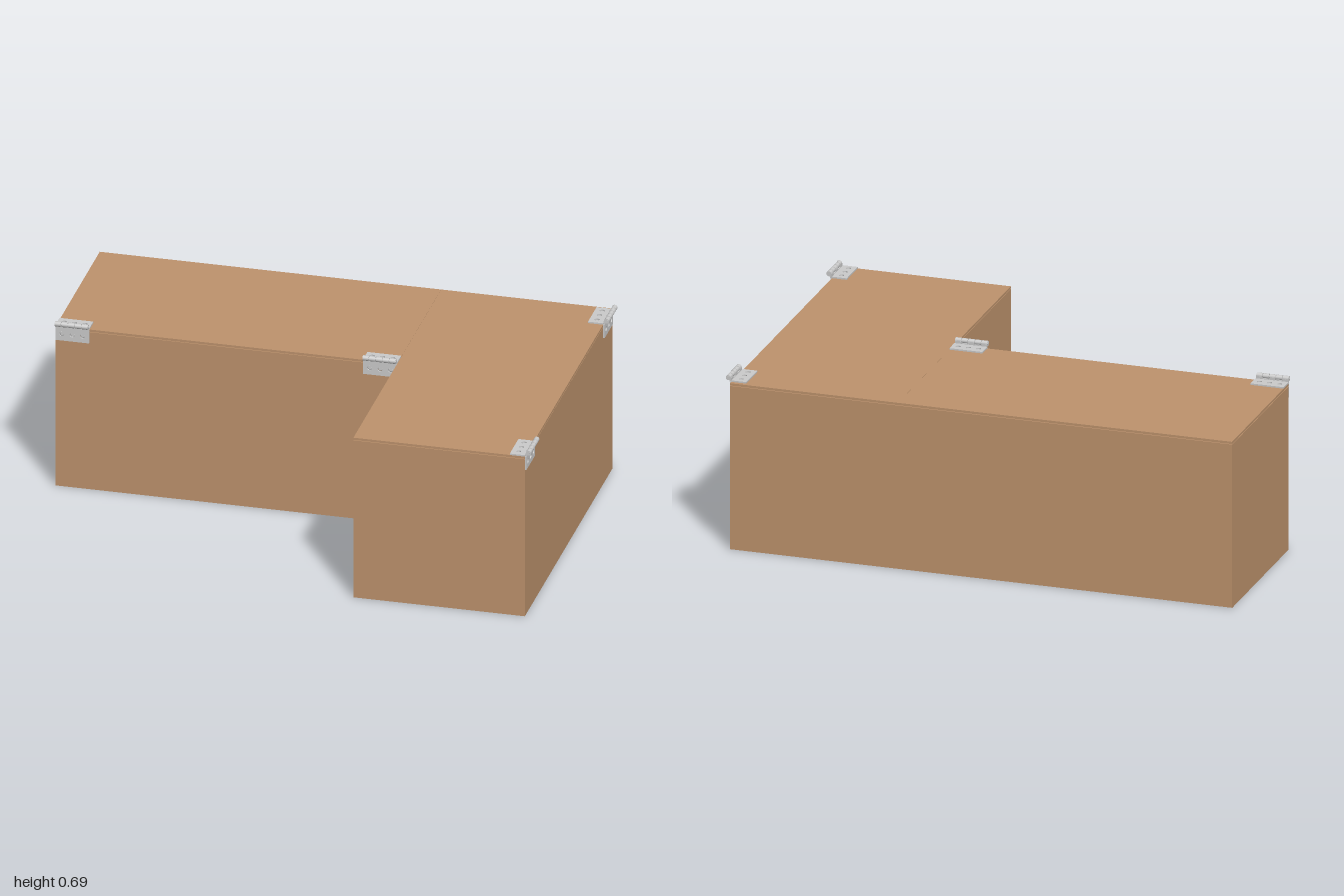
import * as THREE from 'three';

const wood = new THREE.MeshStandardMaterial({ color: 0xbe936d });
const metal = new THREE.MeshStandardMaterial({ color: 0xcccccc });

const TOP = 0.66, LID = 0.009, GAP = 0.002;
const X0 = -1, X1 = 0.975, INNER = 0.315, DEPTH = 0.66;
const HINGE = 0.13;

function add(parent, name, geometry, material, x = 0, y = 0, z = 0) {
  const mesh = new THREE.Mesh(geometry, material);
  mesh.name = name;
  mesh.position.set(x, y, z);
  parent.add(mesh);
  return mesh;
}

// Flat leaf in the XY plane with three screw holes, extruded along +z
function leafGeometry(height, holeY, thickness) {
  const h = HINGE / 2;
  const shape = new THREE.Shape([
    new THREE.Vector2(-h, 0), new THREE.Vector2(h, 0),
    new THREE.Vector2(h, height), new THREE.Vector2(-h, height),
  ]);
  for (const x of [-0.04, 0, 0.04]) {
    shape.holes.push(new THREE.Path().absarc(x, holeY, 0.0095, 0, Math.PI * 2, true));
  }
  return new THREE.ExtrudeGeometry(shape, { depth: thickness, bevelEnabled: false, curveSegments: 10 });
}

// Hinge whose origin is the box edge: local x along it, z outward
function makeHinge() {
  const hinge = new THREE.Group();
  hinge.name = 'hinge';
  const t = 0.006, barrelY = 0.015, barrelZ = 0.013, r = 0.01;

  add(hinge, 'topLeaf', leafGeometry(0.058, 0.03, t).rotateX(-Math.PI / 2), metal);
  add(hinge, 'sideLeaf', leafGeometry(0.055, 0.027, t), metal, 0, -0.055, 0);

  // Screws sunk into the holes
  for (const x of [-0.04, 0, 0.04]) {
    add(hinge, 'topScrew', new THREE.CylinderGeometry(0.007, 0.0095, 0.002, 14), metal, x, 0.001, -0.03);
    add(hinge, 'sideScrew', new THREE.CylinderGeometry(0.007, 0.0095, 0.002, 14).rotateX(Math.PI / 2),
      metal, x, -0.028, 0.001);
  }

  // Knuckles alternate between the two leaves
  const pitch = HINGE / 5, length = pitch - 0.003;
  for (let i = 0; i < 5; i++) {
    const x = (i - 2) * pitch;
    add(hinge, 'knuckle', new THREE.CylinderGeometry(r, r, length, 16).rotateZ(Math.PI / 2),
      metal, x, barrelY, barrelZ);
    if (i % 2) add(hinge, 'topTab', new THREE.BoxGeometry(length, t, barrelZ), metal, x, barrelY - 0.009, barrelZ / 2);
    else add(hinge, 'sideTab', new THREE.BoxGeometry(length, barrelY, t), metal, x, barrelY / 2, t / 2 + 0.002);
  }
  add(hinge, 'pin', new THREE.CylinderGeometry(0.006, 0.006, HINGE, 12).rotateZ(Math.PI / 2),
    metal, 0, barrelY, barrelZ);
  return hinge;
}

export function createModel() {
  const model = new THREE.Group();
  model.name = 'cornerStorageBench';

  // L-shaped body, drawn as a plan with y = -z
  const plan = new THREE.Shape([
    [X0, 0], [INNER, 0], [INNER, -DEPTH], [X1, -DEPTH], [X1, DEPTH], [X0, DEPTH],
  ].map(([x, y]) => new THREE.Vector2(x, y)));
  const body = new THREE.ExtrudeGeometry(plan, { depth: TOP - LID - GAP, bevelEnabled: false });
  add(model, 'body', body.rotateX(-Math.PI / 2), wood);

  // One thin lid per wing
  const lidY = TOP - LID / 2;
  add(model, 'backLid', new THREE.BoxGeometry(INNER - X0 - 0.001, LID, DEPTH), wood,
    (X0 + INNER) / 2, lidY, -DEPTH / 2);
  add(model, 'sideLid', new THREE.BoxGeometry(X1 - INNER, LID, 2 * DEPTH), wood,
    (INNER + X1) / 2, lidY, 0);

  // Hinges on the inner front edge
  for (const x of [X0 + HINGE / 2, INNER - HINGE / 2]) {
    const hinge = makeHinge();
    hinge.position.set(x, TOP, 0);
    model.add(hinge);
  }

  // Hinges on the outer side edge
  for (const z of [DEPTH - HINGE / 2, -0.58]) {
    const hinge = makeHinge();
    hinge.position.set(X1, TOP, z);
    hinge.rotation.y = Math.PI / 2;
    model.add(hinge);
  }
  return model;
}
